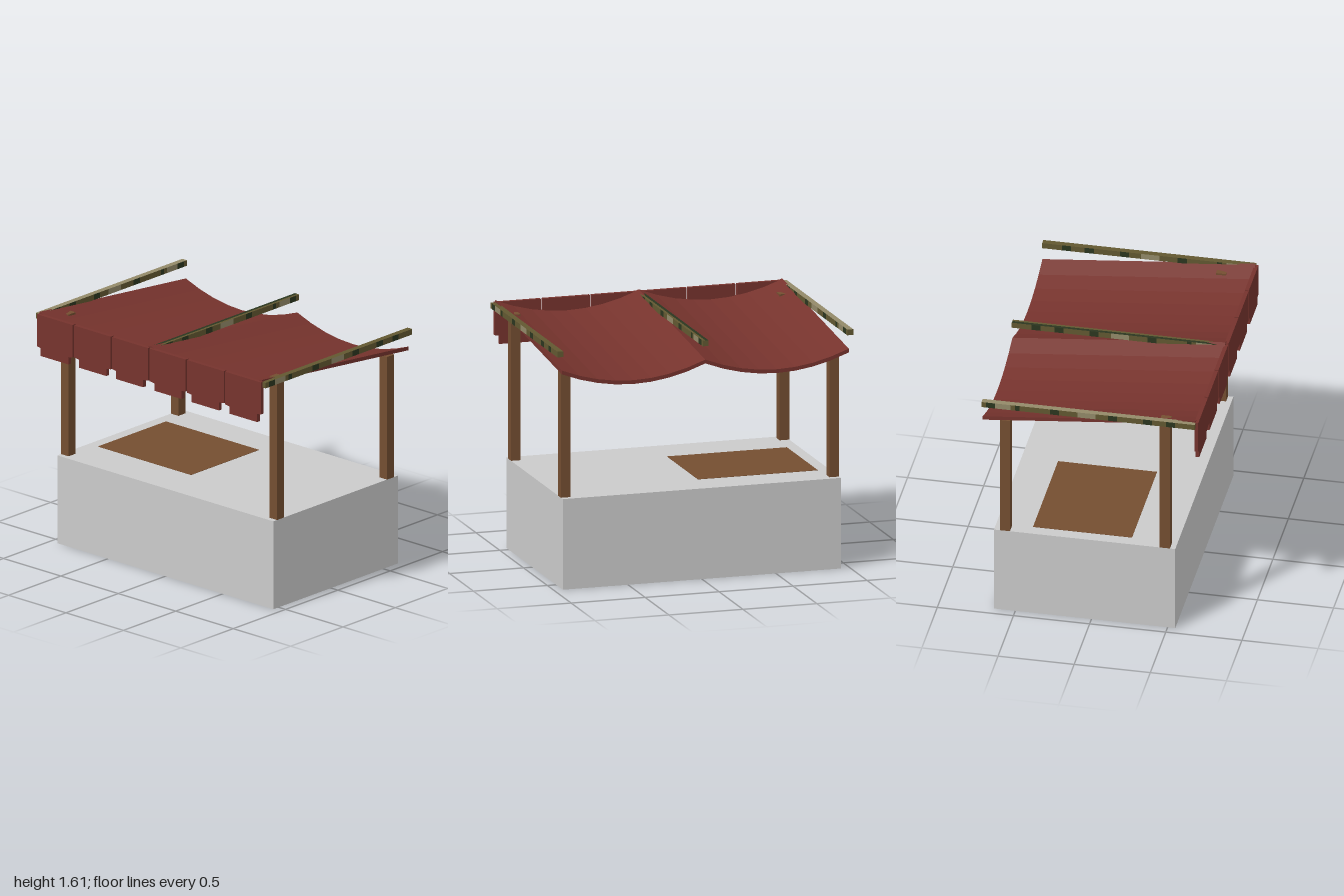
import * as THREE from 'three';

const mat = (name, color, side = THREE.FrontSide) => {
  const m = new THREE.MeshStandardMaterial({ color, side });
  m.name = name;
  return m;
};

export function createModel() {
  const stone = mat('pale grey', 0xcbcbcb);
  const wood = mat('brown wood', 0x744e31);
  const cloth = mat('red cloth', 0x76332d);
  const olive = mat('olive', 0x625831);
  const khaki = mat('khaki', 0x938a69);
  const green = mat('dark green', 0x2b361f);

  const model = new THREE.Group();
  model.name = 'marketStall';

  const add = (name, geometry, material, parent = model) => {
    const mesh = new THREE.Mesh(geometry, material);
    mesh.name = name;
    parent.add(mesh);
    return mesh;
  };
  // Box given by its limits on each axis
  const box = (name, [x0, x1], [y0, y1], [z0, z1], material, parent) => {
    const g = new THREE.BoxGeometry(x1 - x0, y1 - y0, z1 - z0);
    g.translate((x0 + x1) / 2, (y0 + y1) / 2, (z0 + z1) / 2);
    return add(name, g, material, parent);
  };

  // Counter block with a thin board let into its top
  box('counter', [-0.94, 0.94], [0, 0.6], [-0.64, 0.55], stone);
  box('counterBoard', [-0.86, -0.05], [0.597, 0.602], [-0.4, 0.25], wood);

  // Corner posts, the front pair taller
  for (const s of [-1, 1]) {
    const xs = s > 0 ? [0.875, 0.94] : [-0.94, -0.875];
    box('frontPost', xs, [0.599, 1.567], [0.448, 0.515], wood);
    box('backPost', xs, [0.599, 1.437], [-0.602, -0.535], wood);
  }

  // Sagging canopy: two hanging bays, extruded to the front and sheared to slope back
  const half = 0.97, steps = 8, sag = 0.1, thick = 0.025, slope = 0.1;
  const line = [];
  for (let i = 0; i <= steps * 2; i++) {
    const x = -half + (half * i) / steps;
    const u = ((i % steps) / steps) * 2 - 1;
    line.push(new THREE.Vector2(x, 1.61 - sag * (1 - u * u)));
  }
  const under = line.map(p => new THREE.Vector2(p.x, p.y - thick)).reverse();
  const canopy = new THREE.ExtrudeGeometry(new THREE.Shape([...line, ...under]),
    { depth: 1.4, bevelEnabled: false });
  canopy.translate(0, 0, -0.71);
  const pos = canopy.attributes.position;
  for (let i = 0; i < pos.count; i++) {
    pos.setY(i, pos.getY(i) + slope * (pos.getZ(i) - 0.69));
  }
  canopy.computeVertexNormals();
  add('canopy', canopy, cloth);

  // Front valance: six flaps with notched lower corners
  const valance = new THREE.Group();
  valance.name = 'valance';
  model.add(valance);
  const flaps = [[0.007, 0.32, 0.05, 0.285], [0.332, 0.652, 0.37, 0.61], [0.664, 0.975, 0.7, 0.943]];
  for (const s of [-1, 1]) {
    for (const [a, b, c, d] of flaps) {
      const outline = [[a, 1.598], [a, 1.375], [c, 1.37], [c, 1.32],
        [d, 1.32], [d, 1.375], [b, 1.38], [b, 1.598]];
      const shape = new THREE.Shape(outline.map(([x, y]) => new THREE.Vector2(x * s, y)));
      const g = new THREE.ExtrudeGeometry(shape, { depth: 0.026, bevelEnabled: false });
      g.translate(0, 0, 0.682);
      add('valanceFlap', g, cloth, valance);
    }
  }

  // Level roof beams with mottled sides: [end z, side colour] from front to back
  const mottling = [[0.66, olive], [0.6, green], [0.5, khaki], [0.47, olive], [0.44, green],
    [0.24, olive], [0.18, green], [0.06, olive], [-0.06, khaki], [-0.14, olive], [-0.2, green],
    [-0.37, olive], [-0.43, green], [-0.52, olive], [-0.58, green], [-0.71, olive]];
  const beam = (name, xs, top, flip) => {
    const group = new THREE.Group();
    group.name = name;
    model.add(group);
    let front = 0.69;
    for (const [back, side] of mottling) {
      const zs = flip ? [-0.02 - front, -0.02 - back] : [back, front];
      box('beamSection', xs, [1.559, 1.597], zs, [side, side, top, side, olive, olive], group);
      front = back;
    }
  };
  beam('rightBeam', [-1, -0.96], khaki, true);
  beam('middleBeamRight', [-0.021, 0], green, false);
  beam('middleBeamLeft', [0, 0.017], olive, true);
  beam('leftBeam', [0.96, 1], olive, false);

  return model;
}
